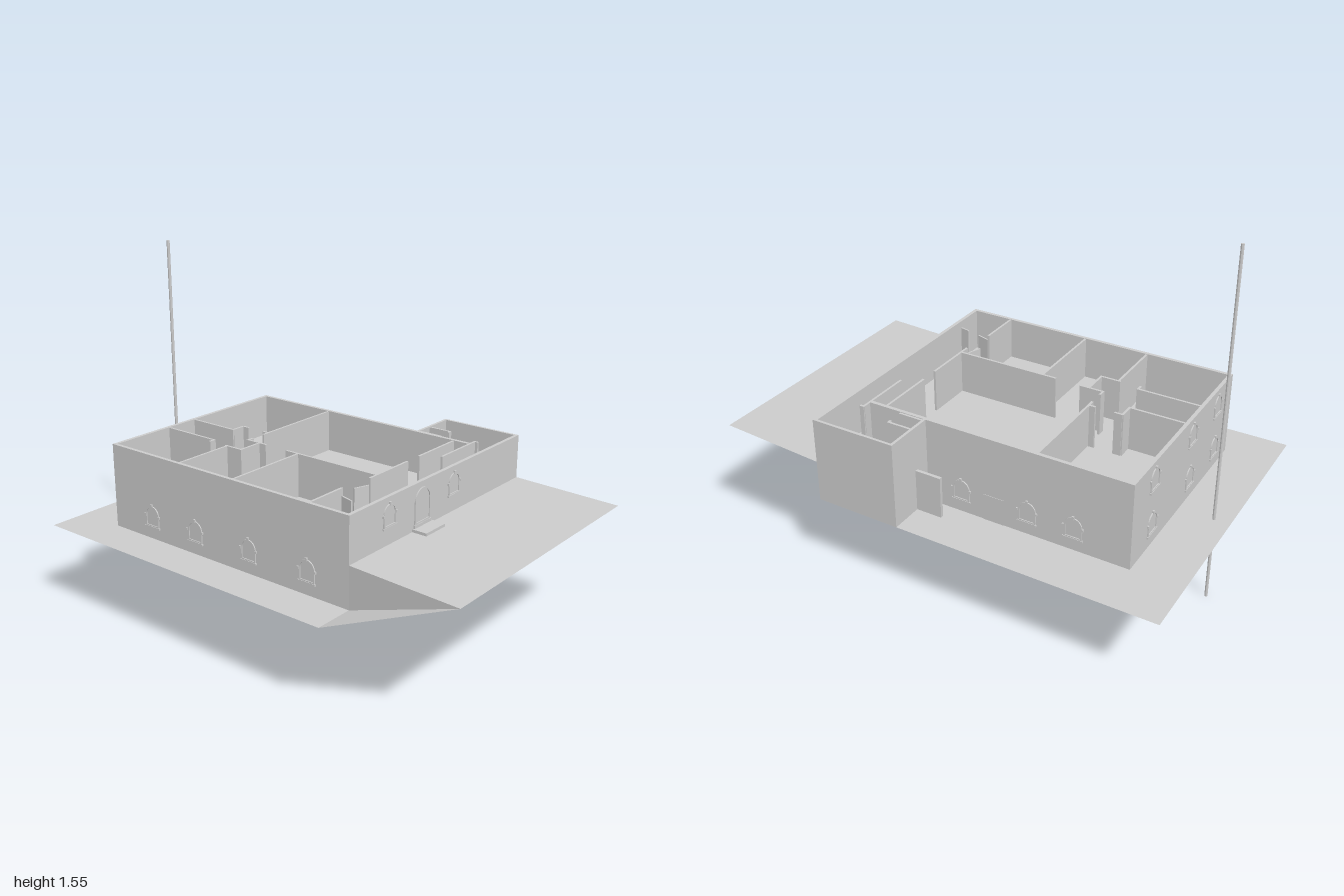
import * as THREE from 'three';

const GROUND = 0.385, FLOOR = 0.568, TOP = 0.76;

export function createModel() {
  const model = new THREE.Group();
  const mat = new THREE.MeshStandardMaterial({ color: 0xcccccc, flatShading: true });
  const sheetMat = new THREE.MeshStandardMaterial({ color: 0xcccccc, flatShading: true, side: THREE.DoubleSide });

  const add = (parent, name, geometry, material = mat) => {
    const mesh = new THREE.Mesh(geometry, material);
    mesh.name = name;
    parent.add(mesh);
    return mesh;
  };
  const box = (parent, name, x1, x2, y1, y2, z1, z2) =>
    add(parent, name, new THREE.BoxGeometry(x2 - x1, y2 - y1, z2 - z1))
      .position.set((x1 + x2) / 2, (y1 + y2) / 2, (z1 + z2) / 2);
  // Flat polygon as a fan of triangles
  const sheet = (name, corners) => {
    const g = new THREE.BufferGeometry();
    g.setAttribute('position', new THREE.Float32BufferAttribute(corners.flat(), 3));
    const index = [];
    for (let i = 1; i < corners.length - 1; i++) index.push(0, i, i + 1);
    g.setIndex(index);
    g.computeVertexNormals();
    add(model, name, g, sheetMat);
  };
  // Upright wall between two plan points
  const wall = (name, [x1, z1, x2, z2], y1, y2, t) => {
    const length = Math.hypot(x2 - x1, z2 - z1);
    const m = add(model, name, new THREE.BoxGeometry(length, y2 - y1, t));
    m.position.set((x1 + x2) / 2, (y1 + y2) / 2, (z1 + z2) / 2);
    m.rotation.y = -Math.atan2(z2 - z1, x2 - x1);
  };

  // Ground, raised front terrace and the bank on its left
  sheet('ground', [[-0.685, GROUND, -1], [-0.685, GROUND, 0.5], [0.685, GROUND, 0.5], [0.685, GROUND, -1]]);
  sheet('terrace', [[-0.51, 0.565, 0.5], [-0.545, 0.565, 1], [0.65, 0.565, 1], [0.685, 0.565, 0.5]]);
  sheet('bankSlope', [[-0.685, GROUND, 0.5], [-0.545, 0.565, 1], [-0.51, GROUND, 0.5]]);
  sheet('bankSide', [[-0.51, GROUND, 0.5], [-0.545, 0.565, 1], [-0.51, 0.565, 0.5]]);

  // Outer walls
  box(model, 'frontWall', -0.51, 0.685, GROUND, TOP, 0.484, 0.5);
  box(model, 'backWall', -0.51, 0.46, GROUND, TOP, -0.78, -0.764);
  box(model, 'leftWall', -0.51, -0.494, GROUND, TOP, -0.764, 0.484);
  box(model, 'rightWall', 0.444, 0.46, GROUND, TOP, -0.764, 0.39);
  box(model, 'annexRightWall', 0.673, 0.685, GROUND, TOP, 0.132, 0.484);
  box(model, 'annexBackWall', 0.46, 0.685, GROUND, TOP, 0.12, 0.132);
  box(model, 'lowYardWall', 0.528, 0.542, GROUND, 0.568, 0.005, 0.12);

  // Upper floor
  box(model, 'floor', -0.494, 0.444, FLOOR - 0.01, FLOOR, -0.764, 0.484);
  box(model, 'annexFloor', 0.444, 0.673, FLOOR - 0.01, FLOOR, 0.132, 0.484);

  // Partitions as plan lines
  [
    [-0.494, -0.39, -0.215, -0.39], [-0.215, -0.4, -0.215, -0.31], [-0.22, -0.31, -0.1, -0.31],
    [-0.1, -0.38, -0.1, -0.27], [-0.1, -0.375, -0.07, -0.375],
    [-0.193, -0.764, -0.193, -0.485], [-0.22, -0.49, -0.193, -0.49],
    [-0.037, -0.764, -0.037, -0.522], [-0.037, -0.525, 0.03, -0.525], [0.028, -0.525, 0.028, -0.49],
    [0.028, -0.405, 0.028, -0.375], [-0.005, -0.375, 0.444, -0.375],
    [-0.494, -0.09, -0.1, -0.09], [-0.103, -0.155, -0.103, 0.315],
    [-0.15, 0.318, 0.105, 0.318], [0.185, 0.318, 0.444, 0.318], [-0.494, 0.3, -0.3, 0.3],
    [0.24, 0.395, 0.495, 0.395], [0.495, 0.392, 0.495, 0.412],
    [0.545, 0.132, 0.545, 0.24], [0.53, 0.236, 0.548, 0.236], [0.466, 0.132, 0.466, 0.24],
  ].forEach(line => wall('partition', line, FLOOR, TOP - 0.002, 0.01));

  // Open door leaves
  [
    [-0.22, 0.295, -0.155, 0.318], [-0.312, 0.31, -0.33, 0.37], [-0.347, 0.435, -0.358, 0.48],
  ].forEach(line => wall('doorLeaf', line, FLOOR, 0.73, 0.007));

  // Arched outline: straight jambs with a half-round head
  const arch = (Path, w, h) => {
    const p = new Path(), r = w / 2;
    p.moveTo(-r, 0);
    p.lineTo(r, 0);
    p.lineTo(r, h - r);
    p.absarc(0, h - r, r, 0, Math.PI, false);
    p.lineTo(-r, 0);
    return p;
  };
  // Arched frame and pane; local z = 0 is the wall face
  const archedOpening = (name, w, h) => {
    const g = new THREE.Group();
    g.name = name;
    const outline = arch(THREE.Shape, w, h);
    const hole = arch(THREE.Path, w - 0.014, h - 0.014);
    hole.curves.forEach(c => {
      if (c.v1) { c.v1.y += 0.007; c.v2.y += 0.007; } else c.aY += 0.007;
    });
    outline.holes.push(hole);
    add(g, 'frame', new THREE.ExtrudeGeometry(outline, { depth: 0.005, bevelEnabled: false, curveSegments: 10 }));
    const pane = add(g, 'pane', new THREE.ShapeGeometry(arch(THREE.Shape, w - 0.01, h - 0.01), 10));
    pane.position.set(0, 0.005, 0.001);
    return g;
  };
  const windowAt = (x, y, z, turn) => {
    const g = archedOpening('window', 0.078, 0.092);
    box(g, 'keystone', -0.005, 0.005, 0.087, 0.1, 0, 0.007);
    box(g, 'sill', -0.043, 0.043, -0.006, 0.002, 0, 0.007);
    for (const s of [-1, 1]) box(g, 'impost', s * 0.042 - 0.004, s * 0.042 + 0.004, 0.045, 0.055, 0, 0.007);
    g.position.set(x, y, z);
    g.rotation.y = turn;
    model.add(g);
  };
  const HIGH = 0.64, LOW = 0.44;
  [-0.265, 0.175].forEach(x => windowAt(x, HIGH, 0.5, 0));
  [-0.355, -0.09, 0.275].forEach(x => [HIGH, LOW].forEach(y => windowAt(x, y, -0.78, Math.PI)));
  [-0.55, -0.295, 0, 0.3].forEach(z => windowAt(-0.51, LOW, z, -Math.PI / 2));
  [-0.54, -0.34, -0.04].forEach(z => windowAt(0.46, LOW, z, Math.PI / 2));

  // Front entrance with its steps
  const entrance = archedOpening('frontDoor', 0.105, 0.145);
  entrance.position.set(-0.048, 0.59, 0.5);
  model.add(entrance);
  box(model, 'lowerStep', -0.113, 0.017, 0.565, 0.577, 0.5, 0.567);
  box(model, 'upperStep', -0.105, 0.009, 0.577, 0.59, 0.5, 0.507);

  // Side door on the ground level
  box(model, 'sideDoor', 0.46, 0.462, GROUND, 0.502, -0.235, -0.142);

  // Tall pole behind the house
  add(model, 'pole', new THREE.CylinderGeometry(0.007, 0.007, 1.55, 8)).position.set(0, 0.775, -0.93);

  return model;
}
